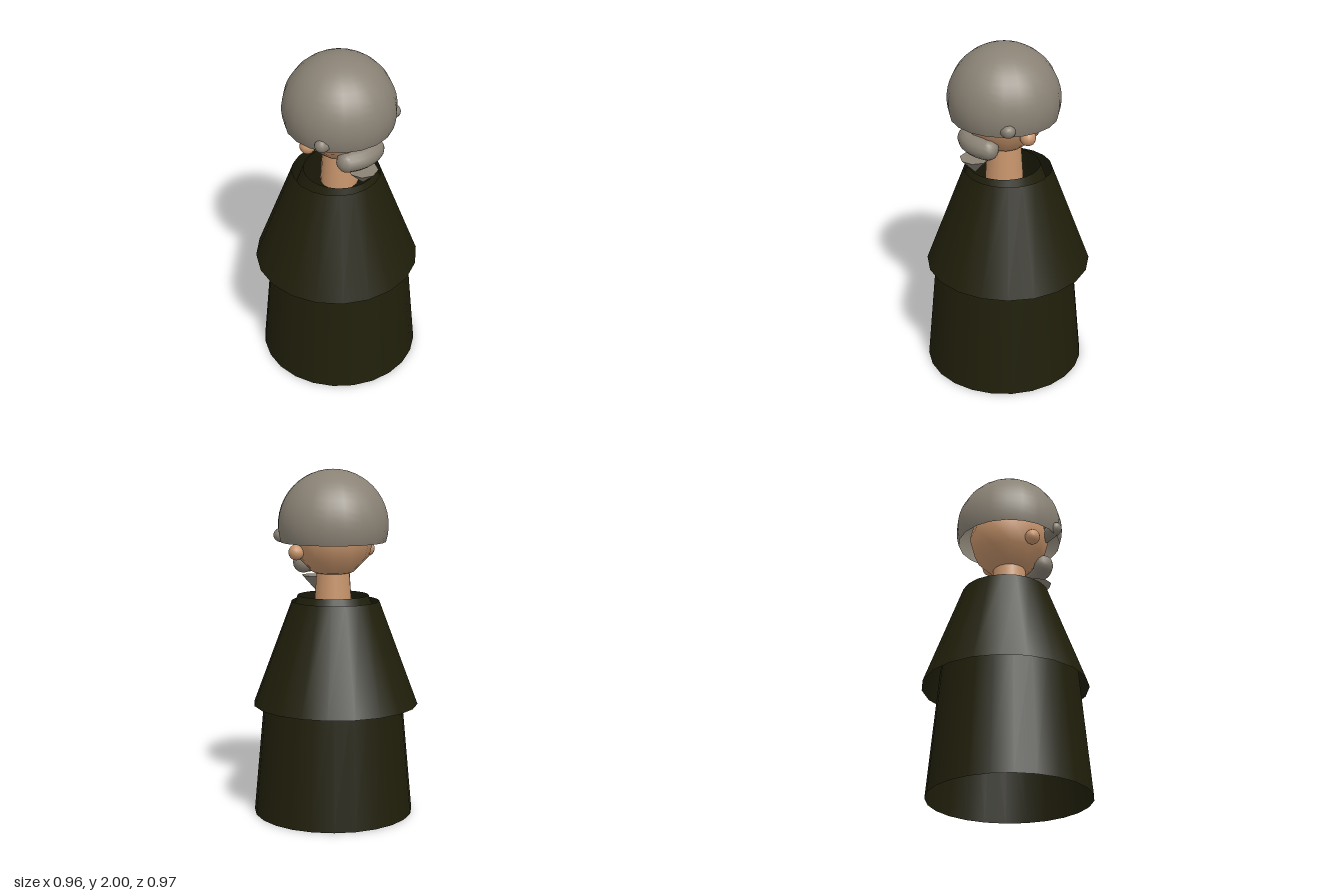
import * as THREE from 'three';

const mat = (name, color, side = THREE.FrontSide) => {
  const m = new THREE.MeshStandardMaterial({ color, side });
  m.name = name;
  return m;
};

export function createModel() {
  const group = new THREE.Group();
  const robe = mat('dark olive cloth', 0x201f0b, THREE.DoubleSide);
  const grey = mat('grey hair', 0x8a8275, THREE.DoubleSide);
  const skin = mat('skin', 0xc8956c);

  const add = (name, geometry, material, x, y, z) => {
    const mesh = new THREE.Mesh(geometry, material);
    mesh.name = name;
    mesh.position.set(x, y, z);
    group.add(mesh);
    return mesh;
  };
  // tapered cylinder given by its bottom and top heights
  const frustum = (name, rTop, rBottom, y0, y1, sides, material, z, open) =>
    add(name, new THREE.CylinderGeometry(rTop, rBottom, y1 - y0, sides, 1, open), material, 0, (y0 + y1) / 2, z);

  // robe: open skirt and chest tube, with an open cape over them
  frustum('skirt', 0.395, 0.465, 0, 0.76, 24, robe, 0.02, true);
  frustum('chest', 0.205, 0.395, 0.76, 1.28, 24, robe, 0.02, true);
  frustum('cape', 0.253, 0.478, 0.65, 1.25, 20, robe, -0.007, true);

  // neck and head
  frustum('neck', 0.095, 0.11, 1.2, 1.43, 16, skin, 0.02, false);
  add('head', new THREE.SphereGeometry(0.238, 12, 6), skin, 0, 1.62, 0.02);

  // open bowl of hair
  add('hair', new THREE.SphereGeometry(0.318, 20, 14, 0, Math.PI * 2, 0, Math.PI * 0.597),
    grey, 0, 1.682, 0.02);

  // ears, and eyebrows whose ends stick out of the hair
  for (const [side, s] of [['left', 1], ['right', -1]]) {
    add(side + 'Ear', new THREE.SphereGeometry(0.045, 12, 8), skin, s * 0.236, 1.535, 0.03);
    const brow = add(side + 'Eyebrow', new THREE.CapsuleGeometry(0.04, 0.11, 4, 10), grey, s * 0.203, 1.624, 0.178);
    brow.rotation.z = Math.PI / 2;
  }

  // moustache: thick bar bent back around the face, with round ends
  const bend = new THREE.QuadraticBezierCurve3(
    new THREE.Vector3(-0.096, 1.457, 0.198),
    new THREE.Vector3(0, 1.461, 0.256),
    new THREE.Vector3(0.096, 1.457, 0.198));
  add('moustache', new THREE.TubeGeometry(bend, 10, 0.061, 12), grey, 0, 0, 0);
  for (const t of [0, 1]) {
    const p = bend.getPoint(t);
    add('moustacheEnd', new THREE.SphereGeometry(0.061, 12, 8), grey, p.x, p.y, p.z);
  }

  // goatee: small cone pointing down
  const goatee = add('goatee', new THREE.ConeGeometry(0.086, 0.09, 8), grey, 0, 1.33, 0.22);
  goatee.rotation.x = Math.PI;

  return group;
}
